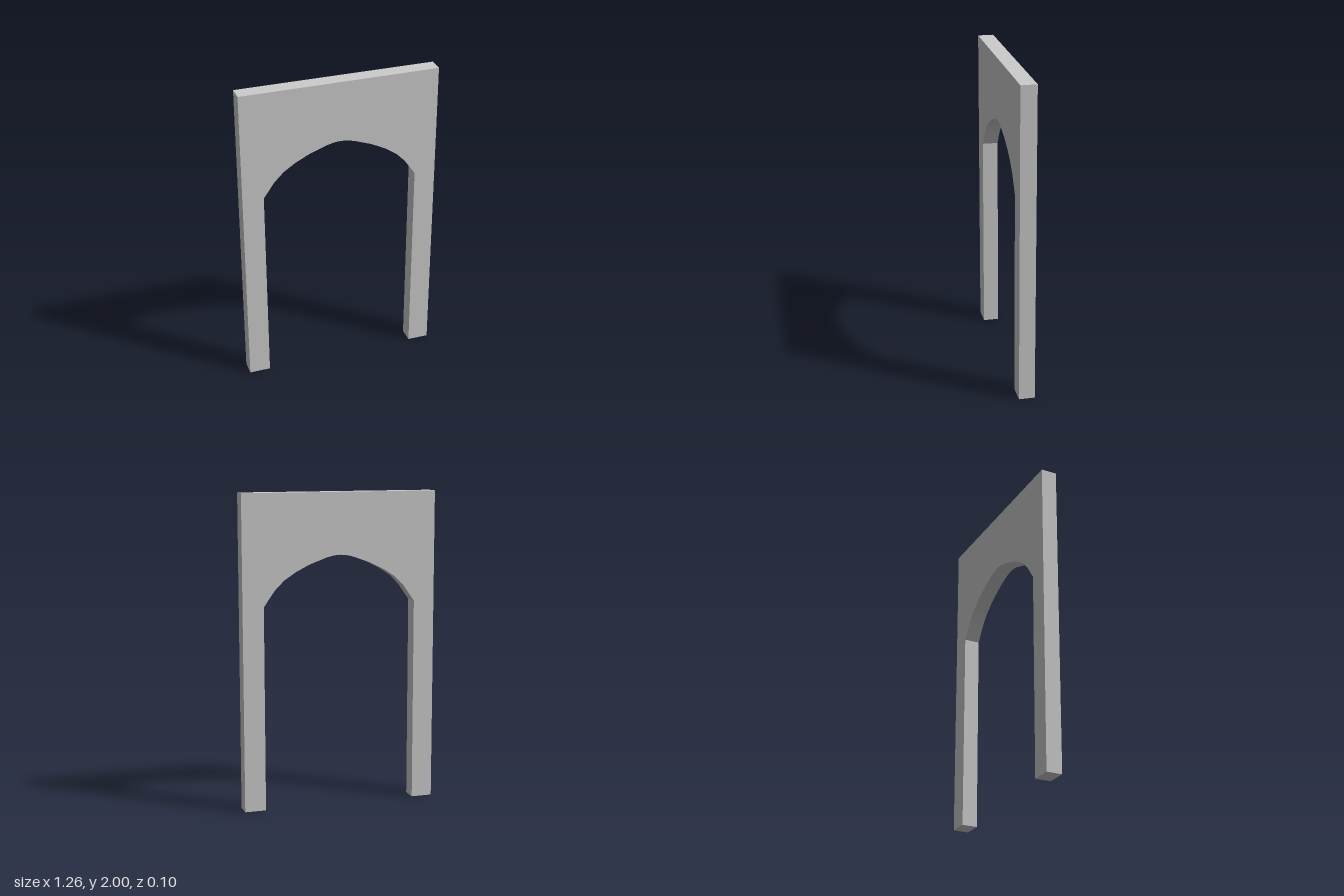
import * as THREE from 'three';

const HALF_WIDTH = 0.63, HEIGHT = 2, DEPTH = 0.1;

// Right half of the opening, from the floor up to the crown
const HALF_OPENING = [
  [0.495, 0], [0.495, 1.3], [0.425, 1.4], [0.365, 1.46],
  [0.29, 1.51], [0.2, 1.555], [0.09, 1.595], [0.04, 1.607],
];

export function createModel() {
  const group = new THREE.Group();
  group.name = 'archway';

  // Wall outline: outer rectangle, then the opening traced left to right
  const mirrored = HALF_OPENING.map(([x, y]) => [-x, y]);
  const outline = [
    [HALF_WIDTH, 0], [HALF_WIDTH, HEIGHT], [-HALF_WIDTH, HEIGHT], [-HALF_WIDTH, 0],
    ...mirrored, [0, 1.61], ...HALF_OPENING.slice().reverse(),
  ];
  const shape = new THREE.Shape(outline.map(([x, y]) => new THREE.Vector2(x, y)));

  const geometry = new THREE.ExtrudeGeometry(shape, { depth: DEPTH, bevelEnabled: false });
  geometry.translate(0, 0, -DEPTH / 2);

  const wall = new THREE.Mesh(
    geometry,
    new THREE.MeshStandardMaterial({ color: 0xcccccc, flatShading: true }),
  );
  wall.name = 'archedWall';
  group.add(wall);
  return group;
}
